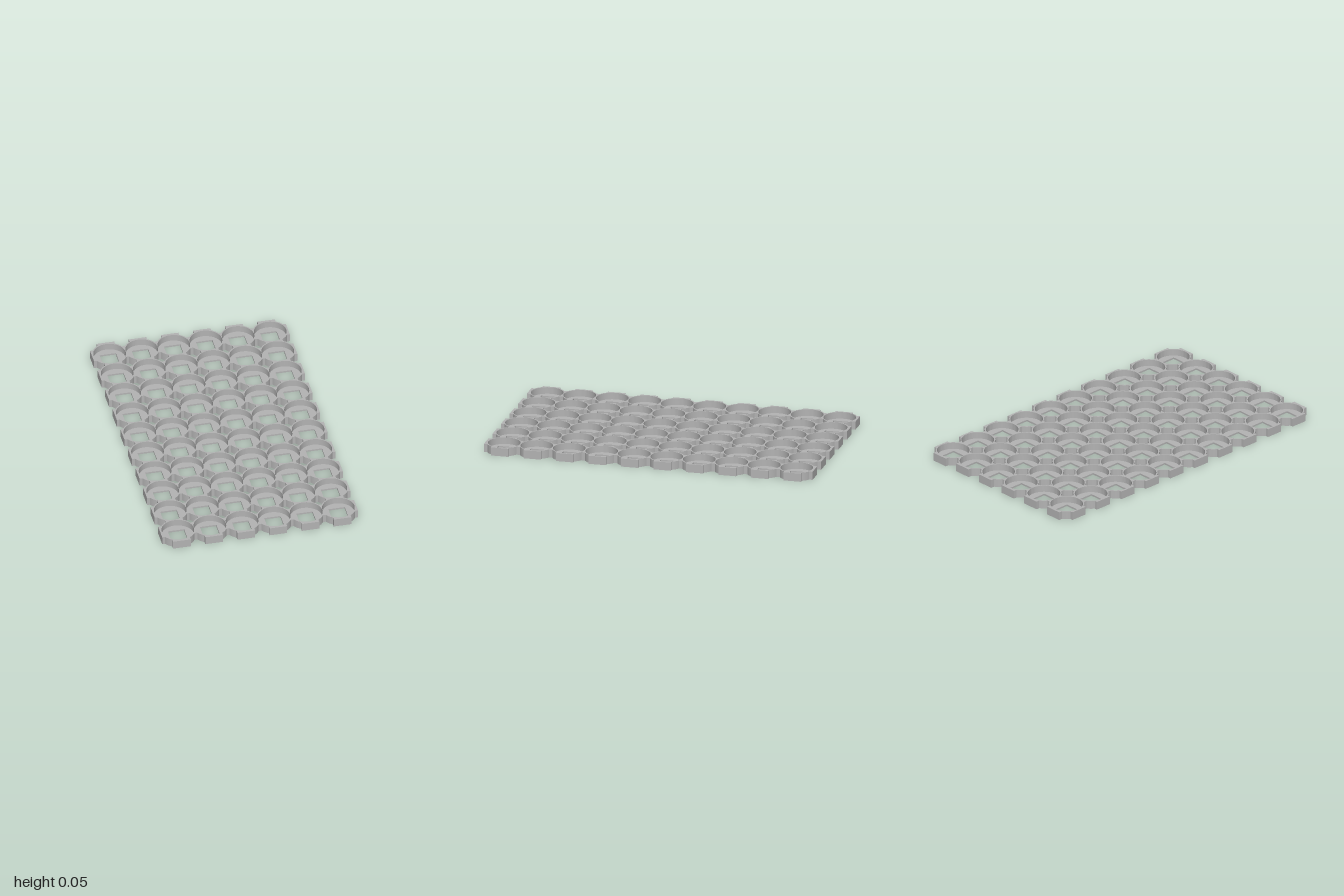
import * as THREE from 'three';
import { toCreasedNormals } from 'three/addons/utils/BufferGeometryUtils.js';

const COLS = 6, ROWS = 10;
const PITCH_X = 0.1937, PITCH_Z = 0.1978;
const REACH_X = 0.106, REACH_Z = 0.11; // tab length on the outer rim
const RING = 0.103, BORE = 0.096;      // outer and inner radius of a cup
const TAB = 0.053, HOLE = 0.049;       // half widths
const HEIGHT = 0.05, FLOOR = 0.01;

// Round cup outline with a flat tab on each side; reach = [+x, +y, -x, -y]
function cupOutline(reach) {
  const shape = new THREE.Shape();
  const a = Math.asin(TAB / RING);
  for (let i = 0; i < 4; i++) {
    const turn = i * Math.PI / 2, c = Math.round(Math.cos(turn)), s = Math.round(Math.sin(turn));
    const point = (u, v) => [u * c - v * s, u * s + v * c];
    if (i === 0) shape.moveTo(...point(reach[i], -TAB));
    else shape.lineTo(...point(reach[i], -TAB));
    shape.lineTo(...point(reach[i], TAB));
    for (let k = 0; k <= 6; k++) {
      const t = turn + a + (Math.PI / 2 - 2 * a) * k / 6;
      shape.lineTo(RING * Math.cos(t), RING * Math.sin(t));
    }
  }
  shape.closePath();
  return shape;
}

// Extrude upwards from y = base
function raise(shape, base, height) {
  const geometry = new THREE.ExtrudeGeometry(shape, { depth: height, bevelEnabled: false, curveSegments: 40 });
  geometry.rotateX(-Math.PI / 2);
  geometry.translate(0, base, 0);
  return toCreasedNormals(geometry, Math.PI / 7);
}

export function createModel() {
  const tray = new THREE.Group();
  tray.name = 'cellTray';
  const plastic = new THREE.MeshStandardMaterial({ color: 0xb3b3b3 });
  plastic.name = 'greyPlastic';

  for (let row = 0; row < ROWS; row++) {
    for (let col = 0; col < COLS; col++) {
      // Inner tabs stop at the border shared with the next cup
      const reach = [
        col === COLS - 1 ? REACH_X : PITCH_X / 2,
        row === 0 ? REACH_Z : PITCH_Z / 2,
        col === 0 ? REACH_X : PITCH_X / 2,
        row === ROWS - 1 ? REACH_Z : PITCH_Z / 2,
      ];
      const cup = new THREE.Group();
      cup.name = 'cup';
      cup.position.set((col - (COLS - 1) / 2) * PITCH_X, 0, (row - (ROWS - 1) / 2) * PITCH_Z);

      // Thin floor with a square opening
      const floor = cupOutline(reach);
      floor.holes.push(new THREE.Path([
        new THREE.Vector2(-HOLE, -HOLE), new THREE.Vector2(-HOLE, HOLE),
        new THREE.Vector2(HOLE, HOLE), new THREE.Vector2(HOLE, -HOLE),
      ]));
      const floorMesh = new THREE.Mesh(raise(floor, 0, FLOOR), plastic);
      floorMesh.name = 'cupFloor';

      // Wall around the round bore
      const wall = cupOutline(reach);
      wall.holes.push(new THREE.Path().absarc(0, 0, BORE, 0, Math.PI * 2, true));
      const wallMesh = new THREE.Mesh(raise(wall, FLOOR, HEIGHT - FLOOR), plastic);
      wallMesh.name = 'cupWall';

      cup.add(floorMesh, wallMesh);
      tray.add(cup);
    }
  }
  return tray;
}
